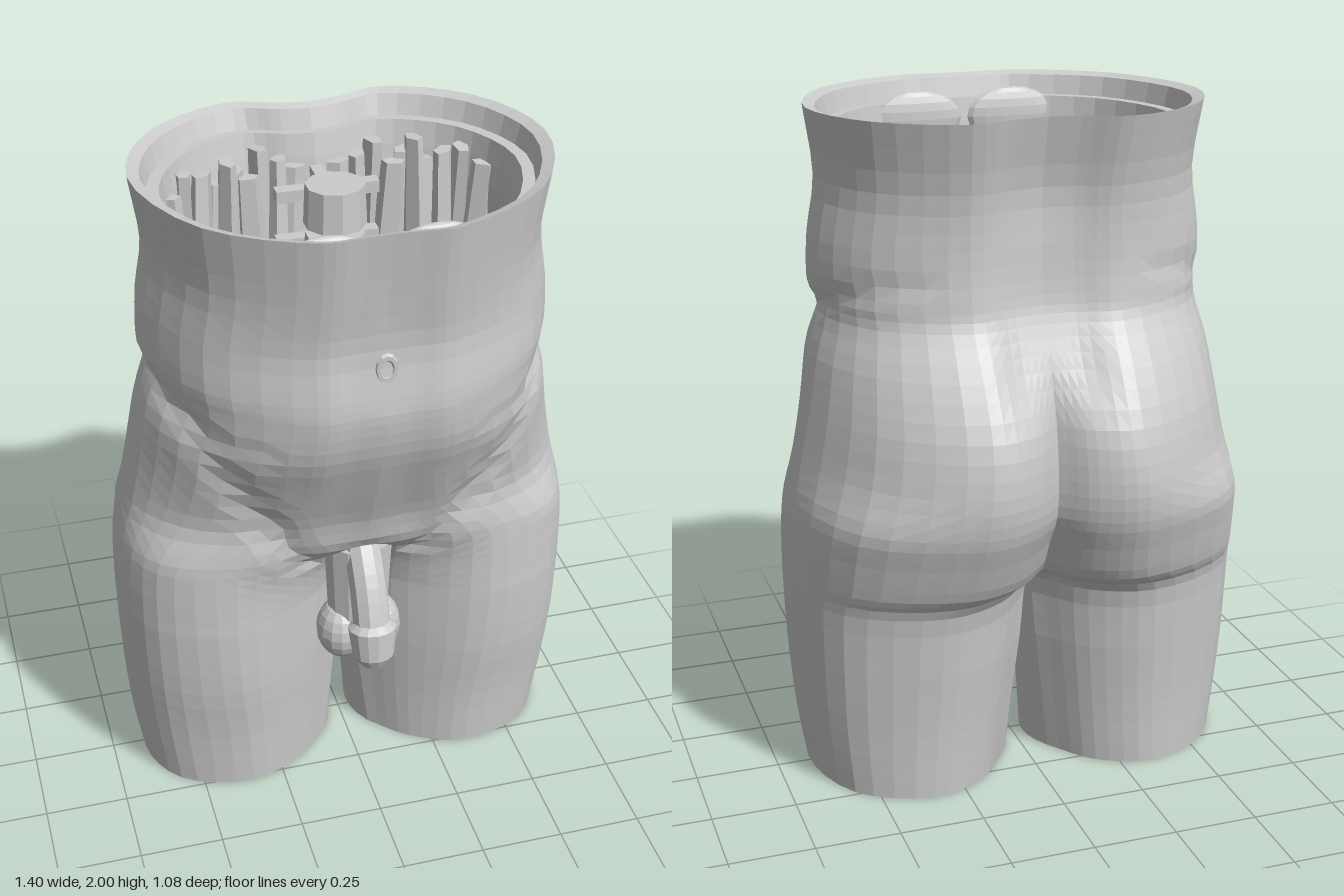
import * as THREE from 'three';

const mat = new THREE.MeshStandardMaterial({ color: 0xcccccc, flatShading: true, side: THREE.DoubleSide });
const V = (x, y, z) => new THREE.Vector3(x, y, z);
const lerp = THREE.MathUtils.lerp;

// Half-body sections: height, outer x, front z, front midline z, front peak x,
// back z, back midline z, back peak x, inner x
const ROWS = [
  [2.00, .585, .535, .53, .18, -.38, -.325, .23, 0],
  [1.80, .56, .505, .50, .18, -.33, -.28, .22, 0],
  [1.64, .585, .485, .485, .19, -.32, -.285, .22, 0],
  [1.50, .59, .50, .50, .19, -.33, -.295, .22, 0],
  [1.42, .575, .50, .505, .19, -.35, -.315, .22, 0],
  [1.30, .605, .475, .48, .20, -.43, -.365, .22, 0],
  [1.15, .63, .41, .42, .20, -.51, -.41, .22, 0],
  [1.00, .66, .345, .355, .25, -.54, -.43, .23, 0],
  [0.88, .685, .325, .31, .37, -.53, -.42, .24, 0],
  [0.78, .697, .32, .15, .39, -.495, -.36, .25, 0],
  [0.67, .70, .32, .08, .39, -.45, -.30, .27, .004],
  [0.60, .70, .32, .07, .39, -.395, -.18, .32, .008],
  [0.40, .695, .31, .08, .38, -.37, -.17, .33, .012],
  [0.20, .68, .285, .09, .36, -.35, -.16, .34, .022],
  [0.00, .65, .27, .10, .35, -.34, -.15, .35, .032],
];
const OUTER = 32, MEDIAL = 6, SUB = 3, CROTCH = 9 * SUB;

// One half section: front midline, round the outside to the back, then the inner thigh
function section([y, xo, zF, zf0, xf, zB, zb0, xb, xi]) {
  const zc = 0.03, k = y > 0.9 ? 0.68 : 0.72;
  const front = y > 0.9 ? 0.7 : 0.62, back = y > 1.25 ? 0.3 : 0.7;
  const round = 0.07 * Math.max(0, 0.6 - y), xe = xi + round;
  const curve = new THREE.CatmullRomCurve3([
    V(xe, y, zf0), V(lerp(xe, xf, .4), y, lerp(zf0, zF, front)), V(xf, y, zF),
    V(lerp(xf, xo, k), y, lerp(zc, zF, k)), V(xo, y, zc), V(lerp(xb, xo, k), y, lerp(zc, zB, k)),
    V(xb, y, zB), V(lerp(xe, xb, .4), y, lerp(zb0, zB, back)), V(xe, y, zb0),
  ], false, 'centripetal');
  const pts = curve.getPoints(OUTER);
  for (let j = 1; j <= MEDIAL; j++) {
    const t = j / MEDIAL;
    pts.push(V(xi + round * (2 * t - 1) ** 2, y, lerp(zb0, zf0, t)));
  }
  return pts;
}

// Press the groin folds and the slanted waist folds into the skin
function crease(p) {
  const groin = (p.x - .2) * .85 - (p.y - .87) * .53;
  if (p.z > .1 && p.y > .8 && p.y < 1.4) p.z -= .022 * Math.exp(-((groin / .045) ** 2));
  const waist = p.y - (1.46 - .3 * p.z);
  if (p.x > .3) p.x -= .014 * Math.exp(-((waist / .035) ** 2));
  return p;
}

// Smooth the sections vertically, column by column
function skinGrid() {
  const rows = ROWS.map(section);
  const n = (ROWS.length - 1) * SUB;
  const columns = rows[0].map((_, j) =>
    new THREE.CatmullRomCurve3(rows.map(r => r[j]), false, 'catmullrom', 0.5).getPoints(n));
  return Array.from({ length: n + 1 }, (_, i) =>
    columns.map(c => crease(V(Math.max(0, c[i].x), c[i].y, c[i].z))));
}

// Skin a grid of points; side = -1 mirrors it
function loft(grid, side, visible = () => true) {
  const cols = grid[0].length, idx = [];
  for (let i = 0; i < grid.length - 1; i++) {
    for (let j = 0; j < cols - 1; j++) {
      if (!visible(i, j)) continue;
      const a = i * cols + j, b = a + 1, c = a + cols, d = c + 1;
      if (side > 0) idx.push(a, c, b, b, c, d);
      else idx.push(a, b, c, b, d, c);
    }
  }
  const geo = new THREE.BufferGeometry();
  const pos = grid.flat().flatMap(p => [p.x * side, p.y, p.z]);
  geo.setAttribute('position', new THREE.Float32BufferAttribute(pos, 3));
  geo.setIndex(idx);
  geo.computeVertexNormals();
  return geo;
}

export function createModel() {
  const model = new THREE.Group();
  model.name = 'anatomicalTorso';
  const add = (name, geo, x = 0, y = 0, z = 0, s = [1, 1, 1], r = [0, 0, 0]) => {
    const m = new THREE.Mesh(geo, mat);
    m.name = name;
    m.position.set(x, y, z);
    m.scale.set(...s);
    m.rotation.set(...r);
    model.add(m);
  };
  const ball = new THREE.SphereGeometry(1, 14, 10);
  const grid = skinGrid();
  const inset = (row, k, cx, cz, dy = 0) =>
    row.map(p => V(cx + (p.x - cx) * k, p.y + dy, cz + (p.z - cz) * k));
  const outside = (i, j) => j < OUTER;

  // Abdominal wall inside the open waist: rim, step and lining
  const wall = [grid[0], inset(grid[0], .94, 0, .06, -.01), inset(grid[1], .93, 0, .06),
    inset(grid[1], .87, 0, .06)];
  for (let i = 2; i <= 20; i++) wall.push(inset(grid[i], .87, 0, .06));
  // Bowl-shaped pelvic floor
  const floor = [grid[20], inset(grid[20], .8, 0, 0, -.06), inset(grid[20], .55, 0, 0, -.2),
    inset(grid[20], .01, 0, 0, -.26)];
  // Lining of the open thigh
  const last = grid.length - 1;
  const thigh = [grid[last]];
  for (let i = last; i > CROTCH + 4; i--) thigh.push(inset(grid[i], .95, .34, -.03, .003));

  for (const s of [1, -1]) {
    const n = s > 0 ? 'left' : 'right';
    add(n + 'Skin', loft(grid, s, (i, j) => j < OUTER || i >= CROTCH));
    add(n + 'AbdominalWall', loft(wall, s, outside));
    add(n + 'PelvicFloor', loft(floor, s, outside));
    add(n + 'ThighLining', loft(thigh, s));

    // Thigh muscle strips and thigh bone
    for (let i = 0; i < 13; i++) {
      const a = i / 13 * Math.PI * 2, h = .5 + .12 * Math.sin(i * 2.3);
      add(n + 'ThighMuscle', new THREE.CylinderGeometry(.055, .05, h, 6),
        s * (.34 + .235 * Math.cos(a)), .04 + .02 * (i % 3) + h / 2, -.03 + .23 * Math.sin(a),
        [1, 1, .45], [0, -s * (a + Math.PI / 2), 0]);
    }
    add(n + 'ThighBone', new THREE.CylinderGeometry(.05, .045, .6, 8), s * .38, .6, 0);

    // Stacked front abdominal muscles
    for (let i = 0; i < 5; i++) {
      add(n + 'FrontMuscle', ball, s * .15, 1.88 - i * .16, .43 - i * .024, [.14, .085, .03]);
    }
    // Back muscle strands beside the spine
    for (let i = 0; i < 10; i++) {
      const h = .6 + .08 * Math.sin(i * 3.1);
      add(n + 'BackMuscle', new THREE.CylinderGeometry(.028, .045, h, 5),
        s * (.08 + i * .04), 1.55 + .03 * (i % 3), -.24 + .0012 * i * i + .035 * (i % 2),
        [1.3, 1, .8], [.05 * Math.sin(i * 5), i, s * .05]);
    }
    // Hip bone wing and pubic branch
    add(n + 'HipBone', new THREE.SphereGeometry(1, 10, 8, s > 0 ? Math.PI / 2 : -Math.PI / 2, Math.PI, .9, 1.5),
      s * .17, 1.2, -.04, [.25, .32, .2]);
    add(n + 'PubicBone', new THREE.TubeGeometry(new THREE.CatmullRomCurve3(
      [V(s * .3, 1.0, -.02), V(s * .2, .98, .15), V(0, .95, .2)]), 8, .04, 6));
    // Scrotum lobe
    add(n + 'ScrotumLobe', ball, s * .054, .53, .235, [.076, .1, .082]);
  }

  // Lower spine
  for (let i = 0; i < 4; i++) {
    const y = 1.82 - i * .15;
    add('vertebra', new THREE.CylinderGeometry(.085, .09, .12, 10), 0, y, -.03, [1, 1, .95]);
    add('spinousProcess', new THREE.BoxGeometry(.035, .08, .16), 0, y - .02, -.18);
    add('transverseProcess', new THREE.BoxGeometry(.3, .035, .04), 0, y, -.12);
  }
  add('sacrum', new THREE.CylinderGeometry(.16, .04, .38, 8), 0, 1.12, -.2, [1, 1, .4], [.25, 0, 0]);

  // Navel
  add('navel', new THREE.TorusGeometry(.024, .009, 6, 12), 0, 1.585, .486, [1, 1.4, 1]);

  // External genitals
  add('scrotumPouch', new THREE.CylinderGeometry(.105, .09, .32, 12), 0, .695, .228, [1, 1, .85]);
  add('shaft', new THREE.TubeGeometry(new THREE.CatmullRomCurve3(
    [V(0, .87, .25), V(0, .76, .33), V(0, .61, .39)]), 8, .056, 10));
  const profile = [[.001, -.09], [.038, -.082], [.062, -.05], [.068, 0], [.073, .045], [.05, .062]];
  add('glans', new THREE.LatheGeometry(profile.map(p => new THREE.Vector2(...p)), 14),
    0, .595, .395, [1, 1, .9], [-.15, 0, 0]);

  return model;
}
